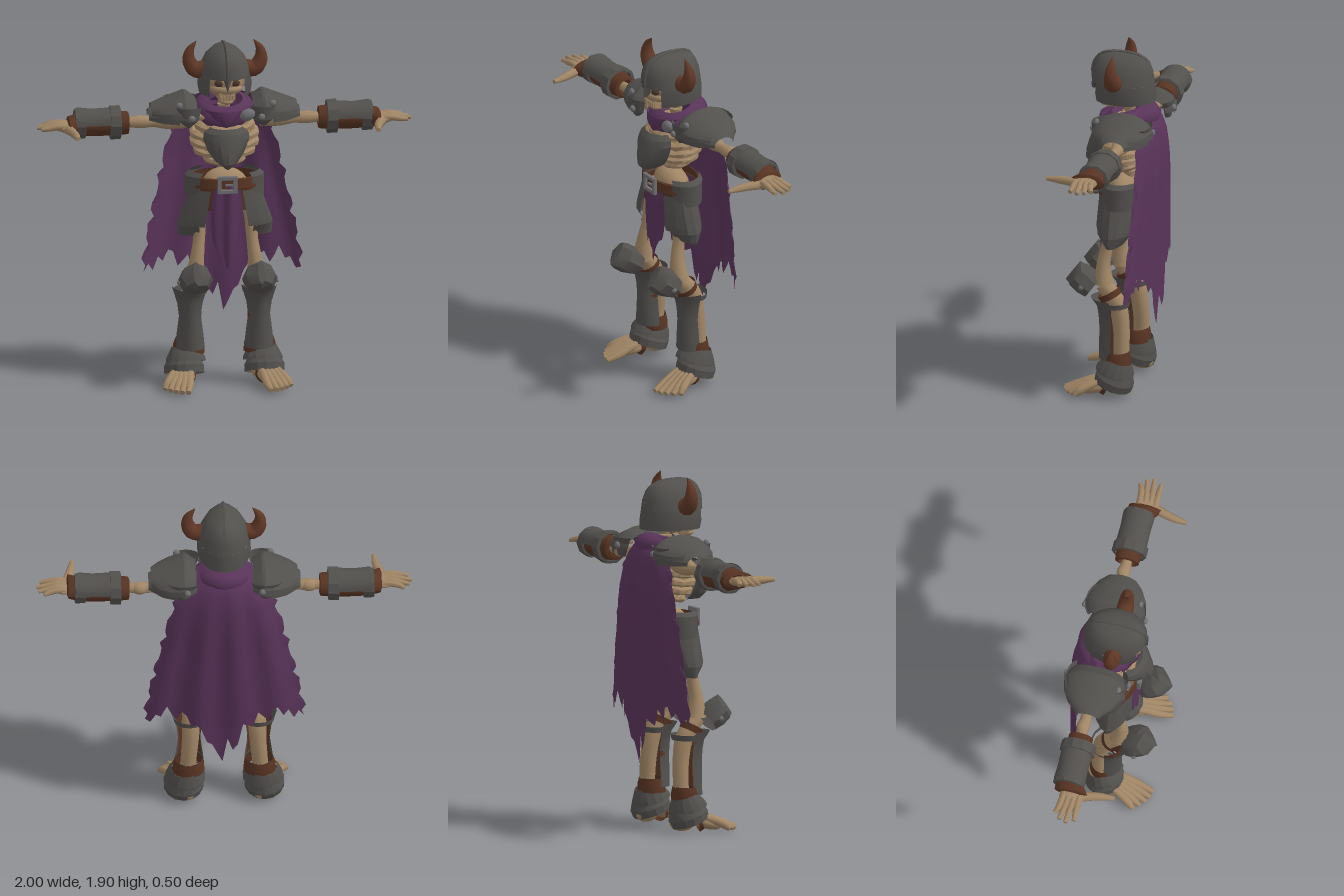
import * as THREE from 'three';
import { toCreasedNormals } from 'three/addons/utils/BufferGeometryUtils.js';

const PI = Math.PI;
const mat = (name, color) => {
  const m = new THREE.MeshStandardMaterial({ color, side: THREE.DoubleSide });
  m.name = name;
  return m;
};

// Surface from a rule p = fn(u, v), u and v in 0..1
function grid(fn, nu, nv, crease = 0.6) {
  const pos = [], idx = [];
  for (let j = 0; j <= nv; j++) for (let i = 0; i <= nu; i++) pos.push(...fn(i / nu, j / nv));
  for (let j = 0; j < nv; j++) for (let i = 0; i < nu; i++) {
    const a = j * (nu + 1) + i, b = a + 1, c = b + nu + 1, d = a + nu + 1;
    idx.push(a, b, c, a, c, d);
  }
  const g = new THREE.BufferGeometry();
  g.setAttribute('position', new THREE.Float32BufferAttribute(pos, 3));
  g.setIndex(idx);
  return toCreasedNormals(g, crease);
}

// Wrapped shell: rows are [y, rx, rz, cx, cz]; angle 0 faces the front, PI/2 faces +x
function band(rows, a0 = -PI, a1 = PI, n = 16, crease = 0.6) {
  return grid((u, v) => {
    const [y, rx, rz, cx = 0, cz = 0] = rows[Math.round(v * (rows.length - 1))];
    const a = a0 + (a1 - a0) * u;
    return [cx + rx * Math.sin(a), y, cz + rz * Math.cos(a)];
  }, n, rows.length - 1, crease);
}

// Tapered tube along points, radii spread evenly along it, closed ends
function limb(points, radii, sides = 8, steps = 10) {
  const curve = new THREE.CatmullRomCurve3(points.map(p => new THREE.Vector3(...p)));
  const f = curve.computeFrenetFrames(steps);
  return grid((u, v) => {
    const k = Math.min(steps, Math.max(0, Math.round(v * (steps + 2)) - 1));
    const r = v === 0 || v === 1 ? 0 : lerpTable(k / steps, radii);
    const p = curve.getPoint(k / steps), a = -u * 2 * PI;
    p.addScaledVector(f.normals[k], r * Math.cos(a)).addScaledVector(f.binormals[k], r * Math.sin(a));
    return [p.x, p.y, p.z];
  }, sides, steps + 2, 1.0);
}

const lerpTable = (t, table) => {
  const x = t * (table.length - 1), i = Math.min(table.length - 2, Math.floor(x));
  return table[i] + (table[i + 1] - table[i]) * (x - i);
};

export function createModel() {
  const bone = mat('bone', 0xa18666), steel = mat('dark steel', 0x52504d), cloth = mat('purple cloth', 0x5a345a);
  const leather = mat('brown leather', 0x573322), horn = mat('horn', 0x5f3726);
  const bright = mat('bright steel', 0x707073), dark = mat('eye socket', 0x46342a);
  const root = new THREE.Group();
  const add = (parent, name, geo, m, p = [0, 0, 0], r = [0, 0, 0], s = [1, 1, 1]) => {
    const mesh = new THREE.Mesh(geo, m);
    mesh.name = name;
    mesh.position.set(...p); mesh.rotation.set(...r); mesh.scale.set(...s);
    parent.add(mesh);
    return mesh;
  };
  const ball = new THREE.SphereGeometry(1, 14, 10);

  // Helmet and skull
  add(root, 'helmetDome', band([[1.705, .138, .17, 0, -.015], [1.76, .128, .166, 0, -.012], [1.81, .102, .15, 0, -.012],
    [1.84, .068, .125, 0, -.012], [1.858, .03, .085, 0, -.008], [1.87, 0, 0, 0, 0]], -PI, PI, 16, .7), steel);
  add(root, 'helmetSkirt', band([[1.605, .138, .172, 0, -.022], [1.65, .145, .175, 0, -.018], [1.705, .138, .17, 0, -.015]],
    .72, 2 * PI - .72, 14), steel);
  add(root, 'noseGuard', band([[1.645, .006, .16], [1.67, .018, .162], [1.71, .045, .156]], -1, 1, 4), steel);
  add(root, 'crest', limb([[0, 1.7, .152], [0, 1.77, .152], [0, 1.838, .112], [0, 1.862, .02], [0, 1.838, -.13], [0, 1.74, -.178]],
    [.01, .012, .012, .012, .012, .008], 5, 16), steel);
  add(root, 'skull', ball, bone, [0, 1.69, -.01], [0, 0, 0], [.115, .115, .142]);
  add(root, 'cheeks', ball, bone, [0, 1.645, .07], [0, 0, 0], [.088, .036, .065]);
  add(root, 'upperJaw', new THREE.BoxGeometry(.085, .05, .07), bone, [0, 1.615, .085]);
  add(root, 'lowerJaw', band([[1.56, .035, .075], [1.585, .05, .098], [1.605, .055, .1]], -1.6, 1.6, 8), bone, [0, 0, .015]);
  add(root, 'chin', ball, bone, [0, 1.575, .07], [0, 0, 0], [.04, .02, .045]);
  for (let i = -2; i <= 2; i++) add(root, 'tooth', new THREE.BoxGeometry(.013, .026, .01), bone, [i * .016, 1.602, .122]);

  // Spine, rib cage and pelvis
  for (let i = 0; i < 14; i++)
    add(root, 'vertebra', new THREE.CylinderGeometry(.036, .03, .034, 8), bone, [0, 1.06 + i * .041, -.05]);
  add(root, 'chestCore', band([[1.22, .06, .04, 0, -.02], [1.28, .13, .09], [1.36, .148, .105], [1.45, .1, .08], [1.48, 0, 0]]), bone, [0, 0, -.03]);
  for (let i = 0; i < 5; i++) {
    const y = 1.235 + i * .046, rx = [.095, .148, .168, .168, .145][i], rz = [.065, .095, .112, .114, .105][i];
    const loop = Array.from({ length: 17 }, (_, k) => {
      const a = -PI + .001 + k / 16 * (2 * PI - .002);
      return [rx * Math.sin(a), y - .012 * Math.cos(a) + .006 * (k % 2), -.035 + rz * Math.cos(a)];
    });
    const lumps = Array.from({ length: 17 }, (_, k) => k % 2 ? .026 : .018);
    add(root, 'rib', limb(loop, lumps, 6, 32), bone);
  }
  add(root, 'pelvis', ball, bone, [0, 1.1, -.02], [0, 0, 0], [.12, .085, .08]);

  // Breastplate with centre ridge
  add(root, 'breastplate', band([[1.215, .018, .1], [1.25, .065, .137], [1.3, .1, .134], [1.37, .126, .112],
    [1.405, .118, .098], [1.43, .085, .075]], -1.45, 1.45, 8, .45), steel, [0, 0, .055]);

  // Scarf and clasp
  add(root, 'scarf', band([[-.085, .125, .135], [-.04, .16, .165], [0, .155, .15], [.022, .125, .115], [.03, .1, .09], [.0, .085, .075]],
    -PI, PI, 20, 1), cloth, [0, 1.53, -.05], [.28, 0, 0]);
  add(root, 'scarfFold', band([[-.035, .03, .12], [.01, .1, .135], [.05, .125, .125]], -1.3, 1.3, 10, 1), cloth, [0, 1.47, -.015]);
  add(root, 'clasp', ball, bright, [.112, 1.497, .085], [0, 0, .4], [.042, .032, .025]);

  // Cape with folds and a torn hem
  const hem = [.585, .63, .59, .66, .63, .69, .68, .6, .63, .66, .57, .585, .6, .47, .43, .5, .345, .4, .46, .48, .56, .6, .58, .65,
    .67, .61, .65, .7, .63, .64, .58, .59];
  const capeWidth = [.14, .215, .262, .29, .315, .33, .35, .372, .39, .405, .42, .425];
  const capeDepth = [-.16, -.218, -.235, -.239, -.239, -.235, -.231, -.227, -.223, -.219, -.215, -.21];
  add(root, 'cape', grid((u, v) => {
    const s = u * 2 - 1, y = 1.575 + (lerpTable(u, hem) - 1.575) * v;
    const t = Math.min(1, (1.575 - y) / 1.0);
    const tear = Math.abs(s) > .95 ? .01 * Math.sin(v * 43) + .008 * Math.sin(v * 71) : 0;
    return [s * (lerpTable(t, capeWidth) + tear), y,
      lerpTable(t, capeDepth) + .075 * s * s + .01 * Math.min(1, t * 2) * Math.sin(s * 12 + .6)];
  }, 62, 26, 1), cloth);

  // Loincloth, belt and buckle
  const loinHem = [.8, .75, .78, .73, .72, .65, .68, .75, .79, .8, .86];
  add(root, 'loincloth', grid((u, v) => {
    const s = u * 2 - 1;
    return [s * (.07 + .015 * Math.sin(v * 3)), 1.12 + (lerpTable(u, loinHem) - 1.12) * v, .112 - .012 * v - .02 * s * s + .006 * Math.sin(s * 6)];
  }, 20, 8, 1), cloth);
  add(root, 'belt', band([[1.09, .19, .128], [1.095, .198, .134], [1.145, .19, .128], [1.15, .178, .118]], -PI, PI, 20), leather, [0, 0, -.02]);
  const frame = new THREE.Shape();
  const hole = new THREE.Path();
  [[frame, .05, .045], [hole, .034, .029]].forEach(([s, w, h]) =>
    s.moveTo(-w, -h).lineTo(w, -h).lineTo(w, h).lineTo(-w, h).closePath());
  frame.holes.push(hole);
  add(root, 'buckle', new THREE.ExtrudeGeometry(frame, { depth: .014, bevelSize: .003, bevelThickness: .003, bevelSegments: 1 }), bright, [0, 1.122, .113]);
  add(root, 'bucklePin', new THREE.BoxGeometry(.05, .01, .012), bright, [.015, 1.122, .122]);

  // Everything that comes in left and right pairs
  const side = new THREE.Group();
  side.name = 'leftSide';
  root.add(side);
  const along = [0, 0, -PI / 2];

  add(side, 'horn', limb([[.105, 1.735, 0], [.16, 1.735, 0], [.192, 1.785, 0], [.187, 1.84, 0], [.153, 1.89, 0]],
    [.046, .045, .037, .024, .002], 10, 14), horn);
  add(side, 'eyeSocket', ball, dark, [.043, 1.682, .112], [0, 0, 0], [.025, .019, .022]);

  // Shoulder guard: peaked plates that rise off the arm
  add(side, 'shoulderPlate', band([[.15, .07, .13], [.2, .108, .165], [.215, .11, .17], [.29, .08, .155], [.35, .058, .12], [.39, .045, .078]],
    -PI - .1, .1, 10, .45), steel, [0, 1.487, -.075], along);
  add(side, 'lowerShoulderPlate', band([[.25, .075, .155], [.33, .07, .125], [.405, .04, .06]], -PI - .2, .2, 8, .45), steel, [0, 1.462, -.075], along);
  add(side, 'frontShoulderFlap', band([[1.43, .012, .02], [1.465, .055, .045], [1.54, .07, .05]], -1.4, 1.5, 6, .45), steel, [.2, 0, .05]);
  add(side, 'backShoulderFlap', band([[1.44, .03, .03], [1.54, .09, .05]], PI - 1.4, PI + 1.4, 6, .45), steel, [.22, 0, -.185]);
  for (const p of [[.187, 1.487, .1], [.25, 1.55, .06], [.2, 1.5, -.235]])
    add(side, 'rivet', ball, bright, p, [0, 0, 0], [.018, .018, .014]);

  // Arm bones
  add(side, 'collarbone', limb([[.03, 1.46, .03], [.12, 1.475, .03], [.24, 1.46, -.05]], [.018, .016, .024]), bone);
  add(side, 'upperArm', limb([[.2, 1.44, -.08], [.3, 1.432, -.08], [.38, 1.43, -.08], [.44, 1.43, -.08], [.54, 1.43, -.08]],
    [.05, .045, .028, .034, .024], 10, 14), bone);
  add(side, 'elbow', ball, bone, [.45, 1.43, -.085], [0, 0, 0], [.045, .035, .035]);

  // Forearm guard
  add(side, 'leatherSleeve', band([[.505, .045, .045], [.51, .06, .065], [.57, .066, .07], [.68, .066, .072], [.77, .062, .07],
    [.83, .045, .092, 0, .025], [.838, .03, .06, 0, .025]]), leather, [0, 1.428, -.08], along);
  add(side, 'forearmPlate', band([[.56, .08, .086], [.62, .074, .084], [.7, .07, .082], [.78, .08, .086]], -PI - .02, .02, 12), steel, [0, 1.437, -.08], along);
  for (const [x, r] of [[.58, .09], [.768, .08]])
    add(side, 'forearmRim', band([[-.03, r * .85, r * .85], [-.027, r, r * 1.05], [.027, r, r * 1.05], [.03, r * .85, r * .85]], -PI, PI, 10, .5), steel, [x, 1.432, -.08], along);

  // Hand
  add(side, 'palm', ball, bone, [.85, 1.425, -.05], [0, 0, 0], [.062, .026, .066]);
  [[.958, -.118], [.988, -.085], [1, -.048], [.98, -.006]].forEach(([x, z], i) => {
    const z0 = -.092 + i * .028;
    add(side, 'finger', limb([[.82, 1.428, z0], [.885, 1.436, z0 * .9 + z * .1], [.935, 1.428, (z0 + z) / 2], [x, 1.422, z]],
      [.017, .019, .016, .011], 7, 9), bone);
  });
  add(side, 'thumb', limb([[.845, 1.42, -.02], [.82, 1.42, .06], [.81, 1.418, .11], [.803, 1.416, .175]], [.028, .024, .021, .012], 7, 9), bone);

  // Hip guard
  add(side, 'hipLeather', band([[.97, .19, .104], [1.09, .172, .11]], .33, PI - .33, 10), leather, [0, 0, -.012]);
  add(side, 'upperHipPlate', band([[1.03, .214, .122], [1.15, .212, .128], [1.172, .185, .115]], .72, PI - .6, 8, .45), steel, [0, 0, -.025]);
  add(side, 'lowerHipPlate', band([[.885, .256, .114], [.91, .25, .12], [1.08, .19, .11]], .47, PI - .5, 6, .45), steel, [0, 0, -.005]);
  add(side, 'hipPlatePoint', band([[.825, .25, .06], [.885, .256, .114]], .6, PI - .6, 6), steel, [0, 0, -.005]);

  // Leg bones
  add(side, 'thigh', limb([[.11, 1.06, -.01], [.135, .94, .015], [.143, .8, .035], [.155, .7, .05], [.165, .6, .045]],
    [.05, .038, .032, .038, .055], 10, 14), bone);
  add(side, 'shin', limb([[.168, .6, .045], [.175, .5, -.03], [.18, .38, -.055], [.19, .25, -.06], [.2, .08, -.055]],
    [.045, .05, .045, .042, .045], 10, 14), bone);

  // Knee cup
  add(side, 'kneeCup', band([[0, .085, .066], [.05, .096, .077], [.105, .08, .076], [.142, .02, .068], [.143, 0, 0]], -PI, PI, 8, .45),
    steel, [.172, .578, .1], [.93, 0, 0]);
  add(side, 'kneeStrap', band([[-.018, .06, .06], [.018, .064, .064]]), leather, [.172, .545, .01], [.5, 0, 0]);
  add(side, 'kneeRivet', ball, bright, [.262, .6, .145], [0, 0, 0], [.01, .014, .014]);

  // Shin guard and straps
  add(side, 'shinLining', band([[.24, .066, .075], [.32, .058, .075], [.42, .06, .08], [.5, .072, .085]], -1.5, 1.5, 12), leather, [.183, 0, -.025]);
  add(side, 'shinGuard', band([[.195, .08, .088], [.27, .072, .088], [.37, .059, .088], [.44, .068, .092], [.49, .083, .1], [.535, .097, .135]],
    -1.5, 1.5, 10, .5), steel, [.185, 0, -.025]);
  add(side, 'calfStrap', band([[.49, .085, .075], [.52, .09, .08]], PI / 2 - .2, PI * 1.5 + .2, 8), steel, [.182, 0, -.025]);
  add(side, 'ankleStrap', band([[.165, .086, .074], [.21, .084, .072], [.24, .074, .066]]), leather, [.19, 0, -.035]);

  // Ankle armour in two flared tiers
  add(side, 'ankleGuard', band([[-.07, .107, .104], [-.03, .108, .108], [.01, .085, .09]], -PI, PI, 14, .4), steel, [.215, .118, -.042], [-.35, 0, 0]);
  add(side, 'upperAnkleGuard', band([[-.035, .108, .106], [-.015, .104, .102], [.045, .074, .07]], -PI, PI, 14, .4), steel, [.206, .15, -.037], [-.3, 0, 0]);

  // Foot
  const foot = new THREE.Group();
  foot.name = 'foot';
  foot.position.set(.205, 0, -.04);
  foot.rotation.y = .3;
  side.add(foot);
  add(foot, 'heel', ball, bone, [0, .045, -.02], [0, 0, 0], [.05, .043, .068]);
  add(foot, 'instep', ball, bone, [0, .052, .1], [.3, 0, 0], [.068, .038, .1]);
  add(foot, 'footStrap', band([[-.015, .066, .058], [.015, .064, .05]]), leather, [0, .055, .07], [1.2, 0, 0]);
  for (let i = 0; i < 5; i++) {
    const k = i - 2, z = [.275, .278, .27, .252, .228][i];
    add(foot, 'toe', limb([[k * .018, .088, .03], [k * .024, .066, .13], [k * .03, .038, .2], [k * .034, .016, z]],
      [.02, .022, .023, .014], 7, 10), bone);
  }

  const other = side.clone();
  other.name = 'rightSide';
  other.scale.x = -1;
  root.add(other);
  return root;
}
